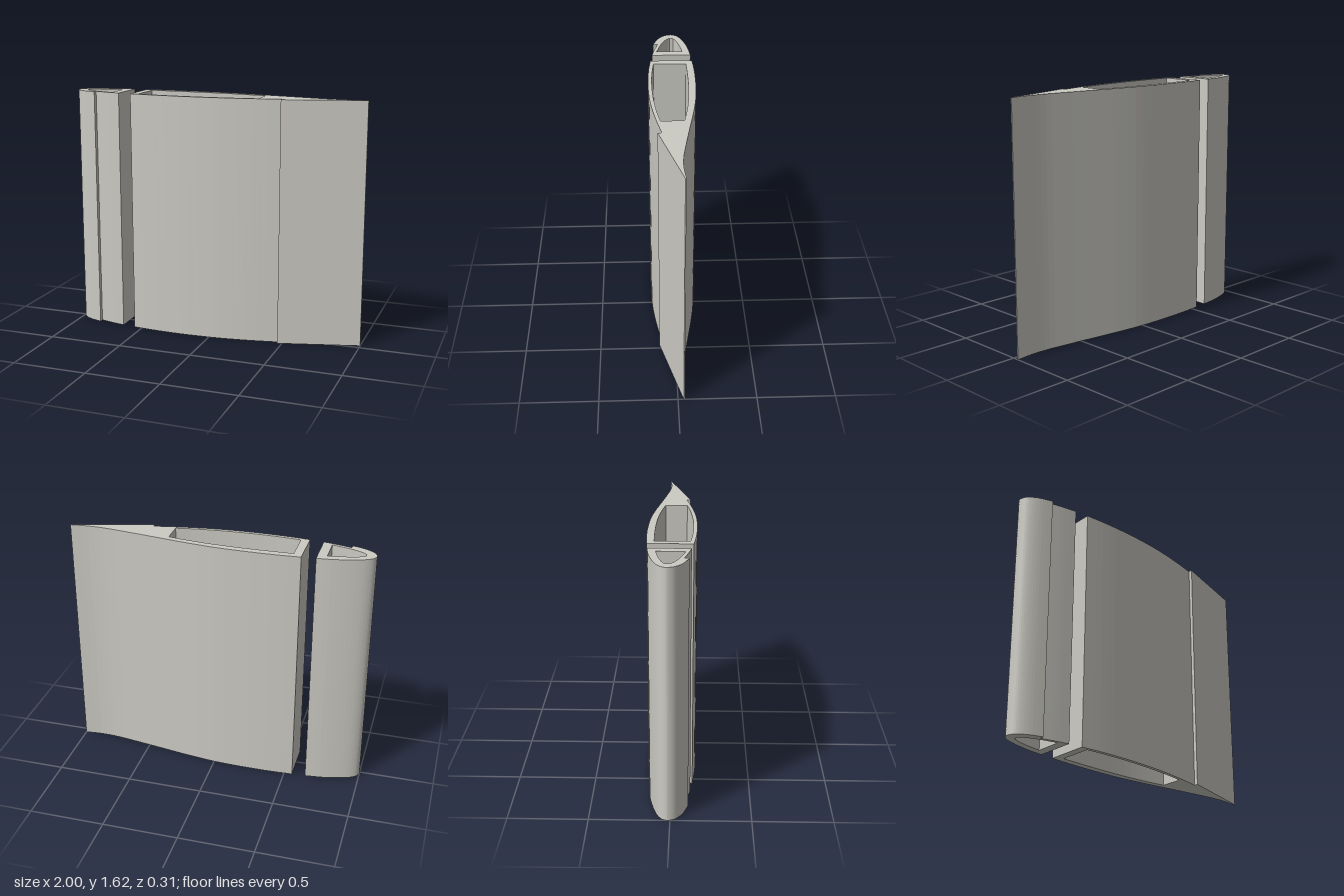
import * as THREE from 'three';

const HEIGHT = 1.625;

// Builds a closed path from runs of [x, y] points: each run is a smooth curve,
// consecutive runs are joined by straight edges and sharp corners.
function trace(path, runs) {
  runs.forEach((run, i) => {
    const pts = run.map(([x, y]) => new THREE.Vector2(x, y));
    if (i === 0) path.moveTo(pts[0].x, pts[0].y);
    else path.lineTo(pts[0].x, pts[0].y);
    if (pts.length === 2) path.lineTo(pts[1].x, pts[1].y);
    else path.splineThru(pts.slice(1));
  });
  path.closePath();
  return path;
}

// Extrudes a hollow section upwards from y = 0. Outline and hollow both run anticlockwise.
function section(name, outline, hollow, material) {
  const shape = trace(new THREE.Shape(), outline);
  shape.holes.push(trace(new THREE.Path(), hollow));
  const geometry = new THREE.ExtrudeGeometry(shape, { depth: HEIGHT, bevelEnabled: false, curveSegments: 3 });
  geometry.rotateX(-Math.PI / 2);
  const mesh = new THREE.Mesh(geometry, material);
  mesh.name = name;
  return mesh;
}

export function createModel() {
  const group = new THREE.Group();
  group.name = 'wingSection';
  const grey = new THREE.MeshStandardMaterial({ name: 'warm grey', color: 0xcbcac3 });

  // Rounded leading edge with a step on the front skin
  group.add(section('leadingEdge', [
    [[-0.645, 0.142], [-0.75, 0.131], [-0.85, 0.11], [-0.93, 0.085], [-0.975, 0.06], [-0.995, 0.035],
      [-1, 0.01], [-0.985, -0.028], [-0.95, -0.06], [-0.9, -0.086], [-0.83, -0.109]],
    [[-0.83, -0.079], [-0.74, -0.102], [-0.645, -0.121]],
  ], [
    [[-0.705, 0.088], [-0.8, 0.073], [-0.88, 0.053], [-0.932, 0.032]],
    [[-0.935, 0.008], [-0.91, -0.018], [-0.83, -0.054], [-0.705, -0.087]],
  ], grey));

  // Hollow main box running into the solid, cusped trailing edge
  group.add(section('mainBoxAndTrailingEdge', [
    [[1, 0.043], [0.87, 0.033], [0.75, 0.039], [0.6, 0.06], [0.4, 0.091], [0.2, 0.123],
      [0, 0.147], [-0.2, 0.156], [-0.4, 0.156], [-0.555, 0.148]],
    [[-0.555, -0.133], [-0.4, -0.147], [-0.2, -0.154], [0, -0.148], [0.15, -0.134], [0.3, -0.112], [0.47, -0.08]],
    [[0.47, -0.105], [1, 0.036]],
  ], [
    [[0.32, 0.061], [0.2, 0.08], [0.05, 0.097], [-0.15, 0.107], [-0.35, 0.108], [-0.5, 0.105]],
    [[-0.5, -0.113], [-0.35, -0.125], [-0.2, -0.129], [0, -0.123], [0.2, -0.104], [0.32, -0.084]],
  ], grey));

  return group;
}
